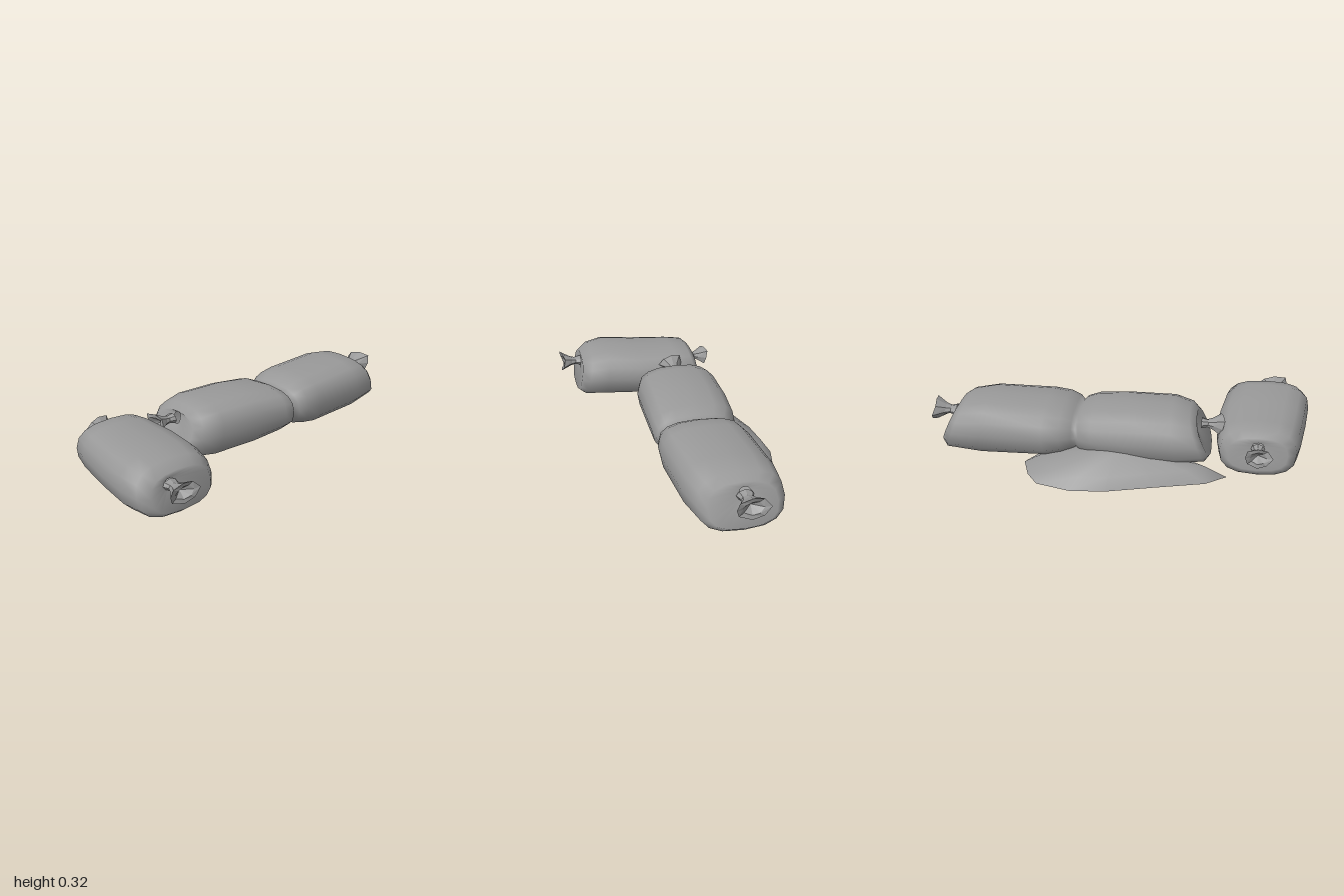
import * as THREE from 'three';

const cloth = new THREE.MeshStandardMaterial({ color: 0x999999, side: THREE.DoubleSide });
cloth.name = 'grey cloth';

// Smooth skin over a list of closed rings with equal point counts
function skin(rings) {
  const n = rings[0].length, index = [];
  for (let i = 0; i < rings.length - 1; i++) {
    for (let j = 0; j < n; j++) {
      const k = (j + 1) % n, a = i * n, b = a + n;
      index.push(a + j, b + j, a + k, a + k, b + j, b + k);
    }
  }
  const geo = new THREE.BufferGeometry();
  geo.setAttribute('position', new THREE.Float32BufferAttribute(rings.flat(2), 3));
  geo.setIndex(index);
  geo.computeVertexNormals();
  return geo;
}

// Sack lying along x; each section is [x, zMin, zMax, yMin, yMax, lean]
function sack(name, sections) {
  const rings = sections.map(([x, z0, z1, y0, y1, lean = 0]) => {
    const ring = [];
    for (let j = 0; j < 16; j++) {
      const a = (j / 16) * Math.PI * 2;
      const soft = (v) => Math.sign(v) * Math.abs(v) ** 0.76;
      const y = (y0 + y1) / 2 + soft(Math.sin(a)) * (y1 - y0) / 2;
      const z = (z0 + z1) / 2 + soft(Math.cos(a)) * (z1 - z0) / 2;
      ring.push([x + lean * (y - 0.17), y, z]);
    }
    return ring;
  });
  const mesh = new THREE.Mesh(skin(rings), cloth);
  mesh.name = name;
  return mesh;
}

// Gathered, flaring end of cloth pointing along the given direction
function knot(name, position, direction, width, height, length) {
  const profile = [[0.5, 0], [0.36, 0.28], [0.5, 0.5], [0.98, 0.92], [0.6, 0.9], [0, 0.6]]
    .map(([r, h]) => new THREE.Vector2(r, h));
  const lathe = new THREE.LatheGeometry(profile, 8);
  const p = lathe.attributes.position;
  for (let i = 0; i < p.count; i++) {
    const a = Math.atan2(p.getZ(i), p.getX(i));
    const h = p.getY(i);
    const fold = 1 + 0.12 * h * Math.cos(3 * a + 0.5);
    p.setXYZ(i, p.getX(i) * fold * width / 2, h * (1 + 0.1 * Math.sin(2 * a)) * length, p.getZ(i) * fold * height / 2);
  }
  const geo = lathe.toNonIndexed();
  geo.rotateX(Math.PI / 2); // now points along +z, height along y
  geo.computeVertexNormals();
  const mesh = new THREE.Mesh(geo, cloth);
  mesh.name = name;
  mesh.position.set(...position);
  mesh.rotation.y = direction;
  return mesh;
}

export function createModel() {
  const group = new THREE.Group();
  group.name = 'sacks';

  // Long sack pinched in the middle
  const longSack = sack('longSack', [
    [-0.42, -0.15, -0.10, 0.20, 0.26, 0.3],
    [-0.45, -0.27, 0.05, 0.085, 0.27, 0.45],
    [-0.42, -0.305, 0.095, 0.055, 0.302, 0.4],
    [-0.30, -0.325, 0.13, 0.035, 0.325, 0.15],
    [-0.05, -0.325, 0.135, 0.03, 0.322],
    [0.13, -0.312, 0.14, 0.048, 0.302],
    [0.195, -0.28, 0.13, 0.062, 0.275],
    [0.215, -0.255, 0.11, 0.07, 0.255],
    [0.235, -0.275, 0.13, 0.062, 0.275],
    [0.29, -0.305, 0.145, 0.045, 0.302],
    [0.38, -0.32, 0.152, 0.03, 0.315],
    [0.70, -0.335, 0.13, 0.03, 0.325, -0.1],
    [0.86, -0.325, 0.095, 0.05, 0.305, -0.4],
    [0.90, -0.28, 0.055, 0.08, 0.275, -0.45],
    [0.88, -0.155, -0.10, 0.19, 0.25, -0.3],
  ]);

  // Short sack lying across the end, modelled along x then turned
  const shortSack = sack('shortSack', [
    [-0.28, 0.69, 0.75, 0.165, 0.22, 0.1],
    [-0.295, 0.57, 0.87, 0.08, 0.25, 0.15],
    [-0.27, 0.53, 0.915, 0.05, 0.278, 0.2],
    [-0.17, 0.515, 0.94, 0.03, 0.288, 0.1],
    [0.05, 0.51, 0.975, 0.025, 0.294],
    [0.25, 0.54, 1.0, 0.028, 0.306, -0.1],
    [0.355, 0.56, 0.98, 0.035, 0.285, -0.25],
    [0.40, 0.60, 0.93, 0.06, 0.25, -0.2],
    [0.385, 0.79, 0.84, 0.165, 0.22, -0.1],
  ]);
  shortSack.rotation.y = -Math.PI / 2;

  // Tied ends
  const q = Math.PI / 2;
  group.add(longSack, shortSack,
    knot('longSackRightKnot', [-0.43, 0.235, -0.125], -q, 0.14, 0.11, 0.12),
    knot('longSackLeftKnot', [0.875, 0.22, -0.125], q, 0.17, 0.115, 0.125),
    knot('shortSackFrontKnot', [-0.815, 0.19, 0.38], 0, 0.17, 0.105, 0.12),
    knot('shortSackBackKnot', [-0.72, 0.19, -0.28], 2 * q, 0.14, 0.11, 0.105));

  // Low mound of earth, open underneath
  const outline = [
    [0.49, -0.25], [0.43, -0.15], [0.28, -0.09], [0.05, -0.07], [-0.2, -0.09], [-0.42, -0.17],
    [-0.575, -0.26], [-0.47, -0.34], [-0.22, -0.41], [0.02, -0.48], [0.2, -0.5], [0.38, -0.455], [0.445, -0.37],
  ];
  const levels = [[1, 0], [0.79, 0.06], [0.27, 0.13], [0, 0.14]];
  const mound = new THREE.Mesh(skin(levels.map(([s, y]) =>
    outline.map(([x, z]) => [x * s, y, -0.28 + (z + 0.28) * s]))), cloth);
  mound.name = 'mound';
  group.add(mound);
  return group;
}
